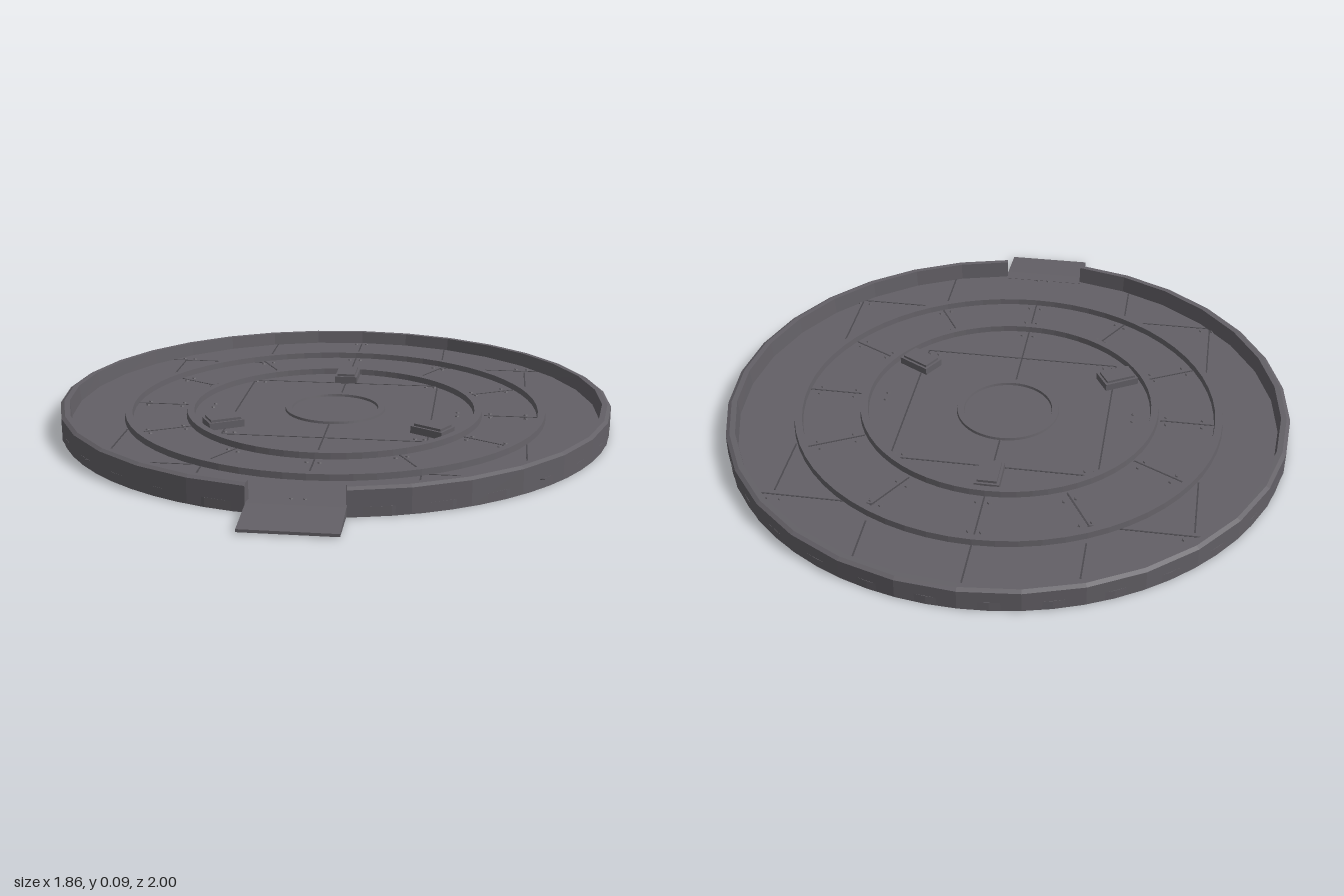
import * as THREE from 'three';

const FLOOR = 0.03, CZ = -0.07, R = 0.931;
const D = Math.PI / 180;

export function createModel() {
  const g = new THREE.Group();
  g.name = 'roundPlatform';
  const metal = new THREE.MeshStandardMaterial({ color: 0x636066, flatShading: true });
  metal.name = 'grey metal';
  const dark = new THREE.MeshStandardMaterial({ color: 0x4b494e, flatShading: true });
  dark.name = 'dark seam';

  const add = (name, geo, mat, x = 0, y = 0, z = 0, ry = 0, parent = g) => {
    const m = new THREE.Mesh(geo, mat);
    m.name = name;
    m.position.set(x, y, z);
    m.rotation.y = ry;
    parent.add(m);
    return m;
  };

  // Base slab
  add('baseDisc', new THREE.CylinderGeometry(R - 0.003, R - 0.003, FLOOR, 64), metal, 0, FLOOR / 2, CZ);

  // Outer rim: a wall swept around the disc, open at the ramp and lower at the back
  const sectionAt = (a) => {
    const c = Math.cos(a);
    const top = c > 0 ? 0.085 + 0.004 * c : 0.085 + 0.011 * c;
    return [[R, 0.004], [R, top - 0.007], [R - 0.012, top], [R - 0.03, top], [R - 0.036, FLOOR - 0.004]]
      .map(([r, y]) => [r * Math.sin(a), y, CZ + r * c]);
  };
  const pos = [];
  const tri = (a, b, c) => pos.push(...a, ...b, ...c);
  const N = 30, start = 9 * D, step = (342 / N) * D;
  for (let i = 0; i < N; i++) {
    const s = sectionAt(start + i * step), t = sectionAt(start + (i + 1) * step);
    for (let k = 0; k < s.length; k++) {
      const n = (k + 1) % s.length;
      tri(s[k], t[k], t[n]);
      tri(s[k], t[n], s[n]);
    }
  }
  const first = sectionAt(start), last = sectionAt(start + N * step);
  for (let k = 1; k < first.length - 1; k++) {
    tri(first[0], first[k], first[k + 1]);
    tri(last[0], last[k + 1], last[k]);
  }
  const rim = new THREE.BufferGeometry();
  rim.setAttribute('position', new THREE.Float32BufferAttribute(pos, 3));
  rim.computeVertexNormals();
  add('outerRim', rim, metal);

  // Entry ramp: wedge profile extruded across the gap
  const wedge = new THREE.Shape([[0.8, 0.004], [1, 0.004], [1, 0.013], [0.85, 0.031], [0.8, 0.031]]
    .map(([z, y]) => new THREE.Vector2(-z, y)));
  const ramp = new THREE.ExtrudeGeometry(wedge, { depth: 0.288, bevelEnabled: false });
  ramp.rotateY(Math.PI / 2);
  add('entryRamp', ramp, metal, -0.144);

  // Raised ridges on the deck
  const ridge = (name, rOut, rIn, cz, top, sz) => {
    const profile = [[rOut, FLOOR - 0.004], [rOut - 0.003, top], [rIn + 0.003, top], [rIn, FLOOR - 0.004]]
      .map(([r, y]) => new THREE.Vector2(r, y));
    add(name, new THREE.LatheGeometry(profile, 64), metal, 0, 0, cz).scale.z = sz;
  };
  ridge('outerRidge', 0.717, 0.687, -0.057, 0.05, 0.981);
  ridge('middleRidge', 0.504, 0.474, -0.037, 0.05, 0.979);
  ridge('centreRidge', 0.173, 0.145, -0.066, 0.038, 1);

  // Three clamp blocks inside the middle ridge
  for (const a of [180, 60, -60]) {
    const block = new THREE.Group();
    block.name = 'clampBlock';
    block.position.set(0.4 * Math.sin(a * D), FLOOR, -0.04 + 0.4 * Math.cos(a * D));
    block.rotation.y = a * D;
    g.add(block);
    add('clampBody', new THREE.BoxGeometry(0.08, 0.024, 0.12), metal, 0, 0.012, 0, 0, block);
    add('clampCap', new THREE.BoxGeometry(0.064, 0.009, 0.104), metal, 0, 0.0275, 0, 0, block);
  }

  // Panel seams, given by their end points on the deck
  const seam = (x1, z1, x2, z2) => {
    const len = Math.hypot(x2 - x1, z2 - z1);
    add('panelSeam', new THREE.BoxGeometry(0.005, 0.002, len), dark,
      (x1 + x2) / 2, FLOOR, (z1 + z2) / 2, Math.atan2(x2 - x1, z2 - z1));
  };
  const rivetGeo = new THREE.CylinderGeometry(0.006, 0.008, 0.004, 6);
  const rivetPair = (x, z, dx, dz) => {
    for (const s of [-1, 1]) add('rivet', rivetGeo, metal, x + s * dx, FLOOR + 0.002, z + s * dz);
  };
  for (const s of [-1, 1]) {
    seam(s * 0.335, -0.38, s * 0.335, 0.25);
    seam(s * 0.335, -0.9, s * 0.335, -0.7);
    seam(s * 0.335, 0.55, s * 0.335, 0.76);
    seam(s * 0.65, -0.6, s * 0.65, -0.36);
    seam(s * 0.65, 0.24, s * 0.65, 0.54);
    seam(s * 0.33, -0.62, s * 0.7, -0.62);
    seam(s * 0.33, 0.55, s * 0.7, 0.55);
    seam(s * 0.51, -0.05, s * 0.69, -0.05);
    // Radial seams and rivets between the two larger ridges
    for (const a of [30, 62, 118, 150]) {
      const dx = s * Math.sin(a * D), dz = Math.cos(a * D);
      seam(dx * 0.5, -0.05 + dz * 0.49, dx * 0.69, -0.05 + dz * 0.68);
      for (const r of [0.53, 0.65]) rivetPair(dx * r, -0.05 + dz * r, dz * 0.02, -s * Math.abs(dx) * 0.02);
    }
    for (const x of [0.53, 0.65, 0.42]) rivetPair(s * x, -0.05, 0, 0.02);
    for (const z of [-0.64, 0.53]) rivetPair(s * 0.64, z, 0.02, 0);
    for (const z of [-0.36, 0.23]) rivetPair(s * 0.31, z, 0.015, 0);
  }
  for (const z of [-0.38, 0.25]) seam(-0.335, z, 0.335, z);
  for (const [z1, z2] of [[-0.95, -0.76], [-0.73, -0.53], [-0.38, -0.24], [0.11, 0.43], [0.46, 0.62]]) seam(0, z1, 0, z2);
  for (const z of [-0.94, -0.7, -0.56, 0.4, 0.49, 0.59, 0.8]) rivetPair(0, z, 0.02, 0);

  return g;
}
